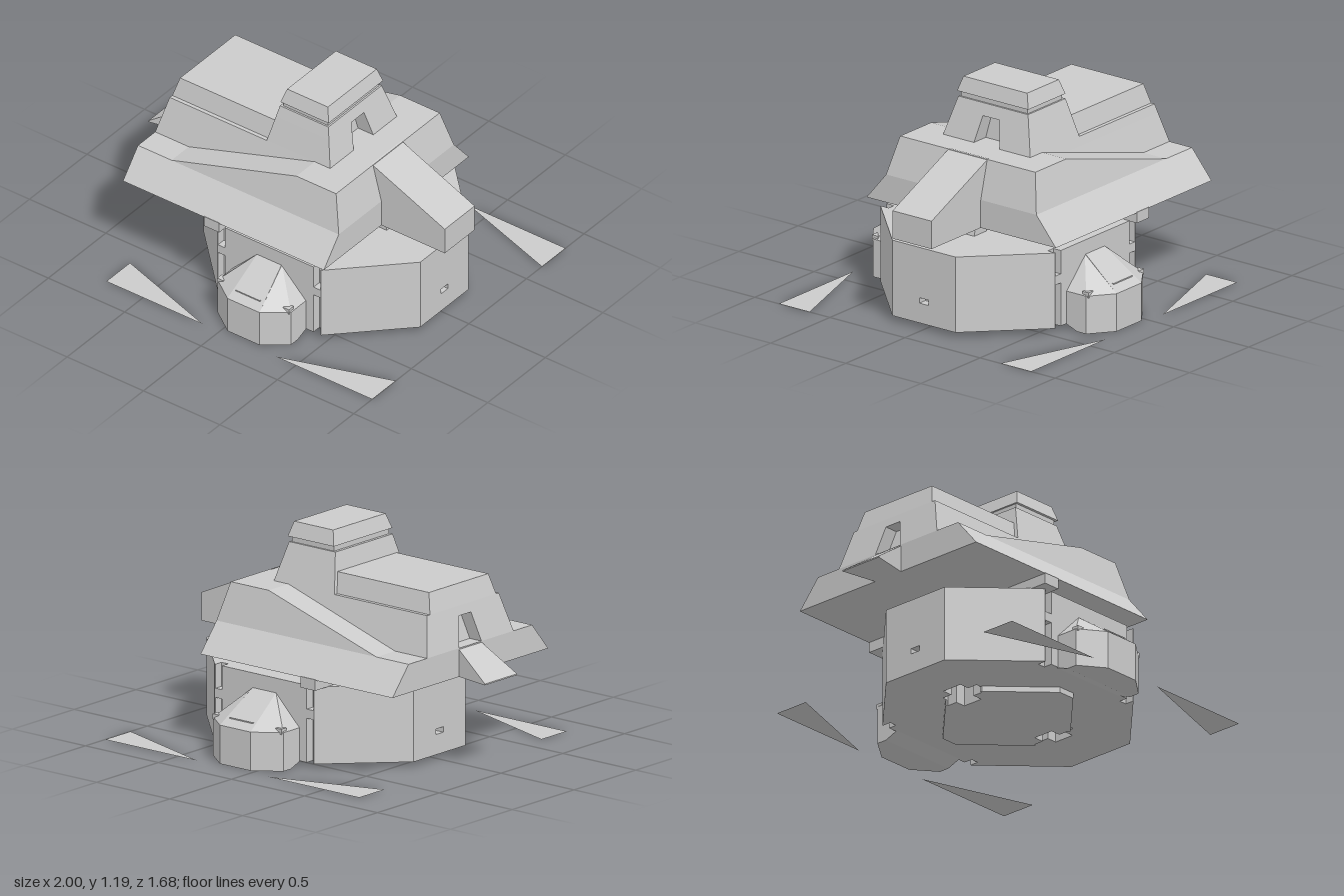
import * as THREE from 'three';

const mat = new THREE.MeshStandardMaterial({ color: 0xcccccc, flatShading: true });
const thin = new THREE.MeshStandardMaterial({ color: 0xcccccc, side: THREE.DoubleSide });

// Closed solid through rings of [x, y, z] points; flat = the two axes the end caps lie in
function loft(rings, flat) {
  const n = rings[0].length, tris = [];
  const [a, b] = flat;
  const area = (p) => p.reduce((s, q, i) => {
    const r = p[(i + 1) % p.length];
    return s + q.x * r.y - r.x * q.y;
  }, 0);
  for (let k = 0; k + 1 < rings.length; k++) {
    const p = rings[k], q = rings[k + 1];
    for (let i = 0; i < n; i++) {
      const j = (i + 1) % n;
      tris.push([p[i], p[j], q[j]], [p[i], q[j], q[i]]);
    }
  }
  [rings[0], rings[rings.length - 1]].forEach((ring, end) => {
    const flatRing = ring.map((p) => new THREE.Vector2(p[a], p[b]));
    const sign = Math.sign(area(flatRing));
    for (const t of THREE.ShapeUtils.triangulateShape(flatRing, [])) {
      const same = Math.sign(area(t.map((i) => flatRing[i]))) === sign;
      const c = t.map((i) => ring[i]);
      tris.push(same === (end === 1) ? c : c.reverse());
    }
  });
  // Turn the solid the right way out
  let volume = 0;
  const [u, v, w] = [0, 1, 2].map(() => new THREE.Vector3());
  for (const t of tris) volume += u.fromArray(t[0]).dot(v.fromArray(t[1]).cross(w.fromArray(t[2])));
  if (volume < 0) tris.forEach((t) => t.reverse());
  const g = new THREE.BufferGeometry();
  g.setAttribute('position', new THREE.Float32BufferAttribute(tris.flat(2), 3));
  g.computeVertexNormals();
  return g;
}

// Rectangle at height y with a notch cut in one x end (side = 1 or -1)
function notched(y, x0, x1, z, half, depth, side) {
  const [near, far] = side > 0 ? [x1, x0] : [x0, x1];
  const inner = near - side * depth;
  return [[far, y, -z], [near, y, -z], [near, y, -half], [inner, y, -half],
    [inner, y, half], [near, y, half], [near, y, z], [far, y, z]];
}
const rect = (y, x0, x1, z) => [[x0, y, -z], [x1, y, -z], [x1, y, z], [x0, y, z]];
const slab = (x, y0, y1, z) => [[x, y0, -z], [x, y1, -z], [x, y1, z], [x, y0, z]];

// Outline given for one quarter, mirrored to four
function fourfold(quarter) {
  const back = [...quarter].reverse();
  return [
    ...quarter,
    ...back.map(([x, z]) => [-x, z]),
    ...quarter.map(([x, z]) => [-x, -z]),
    ...back.map(([x, z]) => [x, -z]),
  ].map(([x, z]) => new THREE.Vector2(x, z));
}
function layer(quarter, y0, y1, holes = []) {
  const shape = new THREE.Shape(fourfold(quarter));
  shape.holes = holes.map((h) => new THREE.Path(h));
  const g = new THREE.ExtrudeGeometry(shape, { depth: y1 - y0, bevelEnabled: false });
  return g.rotateX(-Math.PI / 2).translate(0.13, y0, 0);
}

export function createModel() {
  const model = new THREE.Group();
  const add = (name, geometry, material = mat, parent = model) => {
    const m = new THREE.Mesh(geometry, material);
    m.name = name;
    parent.add(m);
    return m;
  };
  const box = (name, x, y, z, w, h, d, parent) =>
    add(name, new THREE.BoxGeometry(w, h, d).translate(x, y, z), mat, parent);

  // Eight-sided base drum with upright slots, small ports and hatches underneath
  const drum = new THREE.Group();
  drum.name = 'baseDrum';
  model.add(drum);
  const corner = [[0.71, 0.21], [0.34, 0.58], [0.335, 0.58], [0.335, 0.53], [0.29, 0.53], [0.29, 0.58]];
  const port = [[0.66, 0.03], [0.71, 0.03]];
  const hatch = [1, -1].map((s) => [
    [0.27, -0.06], [0.33, -0.06], [0.33, -0.12], [0.37, -0.12], [0.37, -0.06], [0.43, -0.06],
    [0.43, 0.06], [0.37, 0.06], [0.37, 0.12], [0.33, 0.12], [0.33, 0.06], [0.27, 0.06],
  ].map(([x, z]) => new THREE.Vector2(s * x, z)));
  add('drumLower', layer(corner, 0.03, 0.14, hatch), mat, drum);
  add('drumPortBand', layer([...port, ...corner], 0.14, 0.17), mat, drum);
  add('drumUpper', layer(corner, 0.17, 0.45), mat, drum);
  add('footPlate', layer([[0.27, 0.06], [0.33, 0.06], [0.33, 0.12], [0.34, 0.12], [0.34, 0.13], [0.05, 0.42]], 0, 0.03), mat, drum);
  for (const x of [-0.18, 0.44]) for (const s of [1, -1]) {
    box('slotBlock', x, 0.295, s * 0.555, 0.05, 0.05, 0.05, drum);
  }

  // Side pods with a sloping roof
  for (const s of [1, -1]) {
    const pod = new THREE.Group();
    pod.name = s > 0 ? 'frontPod' : 'backPod';
    model.add(pod);
    const wall = (y, inner) => [[-0.11, inner], [-0.11, 0.71], [0.03, 0.81], [0.24, 0.81], [0.37, 0.71], [0.37, inner]]
      .map(([x, z]) => [x, y, s * z]);
    const ridge = [[0.05, 0.56], [0.05, 0.575], [0.05, 0.58], [0.21, 0.58], [0.21, 0.575], [0.21, 0.56]]
      .map(([x, z]) => [x, 0.37, s * z]);
    add('podBody', loft([wall(0, 0.65), wall(0.03, 0.57), wall(0.21, 0.57), ridge], [0, 2]), mat, pod);
    for (const x of [-0.085, 0.345]) box('podSocket', x, 0.215, s * 0.7, 0.04, 0.03, 0.04, pod);
    box('podSlit', 0.13, 0.245, s * 0.76, 0.16, 0.006, 0.012, pod);
  }

  // Supports between drum and hull
  box('rearSupport', -0.21, 0.478, 0, 0.1, 0.06, 1.26);
  add('frontSupport', loft([rect(0.45, 0.43, 0.53, 0.09), rect(0.51, 0.35, 0.515, 0.09)], [0, 2]));

  // Hull with sloping skirts and a deck that rises toward +x
  const hullRing = (x, y, z) => [[x, 0.505, -0.63], [x, 0.66, -0.5], [x, y, -z], [x, y, z], [x, 0.66, 0.5], [x, 0.505, 0.63]];
  add('hull', loft([
    hullRing(-0.79, 0.66, 0.5), hullRing(-0.57, 0.66, 0.5), hullRing(0.21, 0.87, 0.45),
    hullRing(0.47, 0.87, 0.45), hullRing(0.525, 0.66, 0.5),
  ], [1, 2]));

  // Long beam at one end, widening ramp at the other
  add('beam', loft([slab(0.46, 0.505, 0.872, 0.13), slab(0.94, 0.505, 0.66, 0.13)], [1, 2]));
  add('ramp', loft([slab(-0.78, 0.505, 0.66, 0.09), slab(-1, 0.505, 0.512, 0.13)], [1, 2]));

  // Raised deckhouse with an arched niche
  add('deckhouseLower', loft([
    notched(0.66, -0.79, 0.31, 0.35, 0.09, 0.08, -1),
    notched(0.82, -0.752, 0.31, 0.304, 0.05, 0.08, -1),
  ], [0, 2]));
  add('deckhouseMiddle', loft([rect(0.82, -0.752, 0.31, 0.304), rect(0.87, -0.74, 0.31, 0.29)], [0, 2]));
  add('deckhouseTop', loft([rect(0.87, -0.74, 0, 0.268), rect(0.98, -0.71, 0, 0.24)], [0, 2]));

  // Tower with a niche facing +x, neck and cap
  add('towerLower', loft([
    notched(0.87, -0.105, 0.31, 0.29, 0.085, 0.1, 1),
    notched(1.015, -0.075, 0.272, 0.25, 0.055, 0.08, 1),
  ], [0, 2]));
  add('towerUpper', loft([rect(1.015, -0.075, 0.272, 0.25), rect(1.08, -0.062, 0.255, 0.232)], [0, 2]));
  add('towerNeck', loft([rect(1.08, -0.045, 0.245, 0.222), rect(1.11, -0.045, 0.245, 0.222)], [0, 2]));
  add('towerCap', loft([rect(1.11, -0.055, 0.26, 0.237), rect(1.19, -0.03, 0.237, 0.212)], [0, 2]));

  // Four flat ground triangles
  for (const s of [1, -1]) for (const [tip, end] of [[-0.11, -0.74], [0.37, 1]]) {
    const g = new THREE.ShapeGeometry(new THREE.Shape([
      new THREE.Vector2(tip, s * 0.84), new THREE.Vector2(end, s * 0.84), new THREE.Vector2(end, s * 0.635),
    ]));
    add('groundTriangle', g.rotateX(-Math.PI / 2), thin);
  }
  return model;
}
